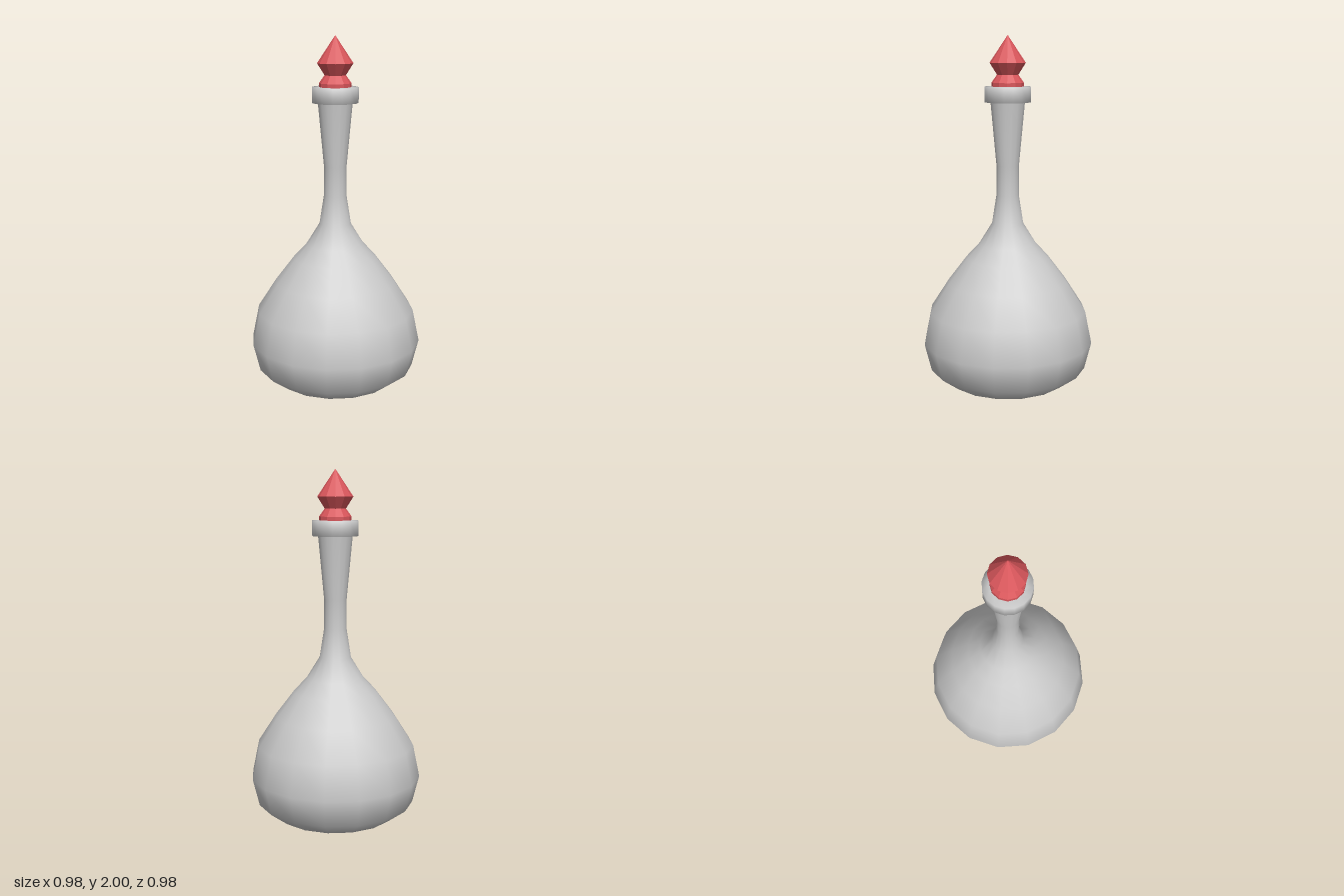
import * as THREE from 'three';

// Turn a list of [radius, height] pairs (bottom to top) around the y axis
function turned(name, profile, sides, material) {
  const points = profile.map(([r, y]) => new THREE.Vector2(r, y));
  const mesh = new THREE.Mesh(new THREE.LatheGeometry(points, sides), material);
  mesh.name = name;
  return mesh;
}

export function createModel() {
  const model = new THREE.Group();
  model.name = 'decanter';
  const glass = new THREE.MeshStandardMaterial({ color: 0xcccccc });
  const red = new THREE.MeshStandardMaterial({ color: 0xd9565b, flatShading: true });

  // Bulbous body flowing into the slender neck
  model.add(turned('bottle', [
    [0, 0], [0.186, 0.005], [0.344, 0.027], [0.45, 0.106], [0.488, 0.26],
    [0.45, 0.445], [0.344, 0.61], [0.238, 0.75], [0.164, 0.83], [0.09, 0.95],
    [0.064, 1.115], [0.064, 1.28], [0.097, 1.635],
  ], 16, glass));

  // Collar around the mouth
  model.add(turned('collar', [
    [0.09, 1.635], [0.13, 1.635], [0.13, 1.72], [0.085, 1.72], [0, 1.72],
  ], 16, glass));

  // Faceted stopper with a pointed tip
  model.add(turned('stopper', [
    [0, 1.721], [0.09, 1.721], [0.09, 1.742], [0.059, 1.785], [0.1, 1.85], [0, 2],
  ], 12, red));

  return model;
}
